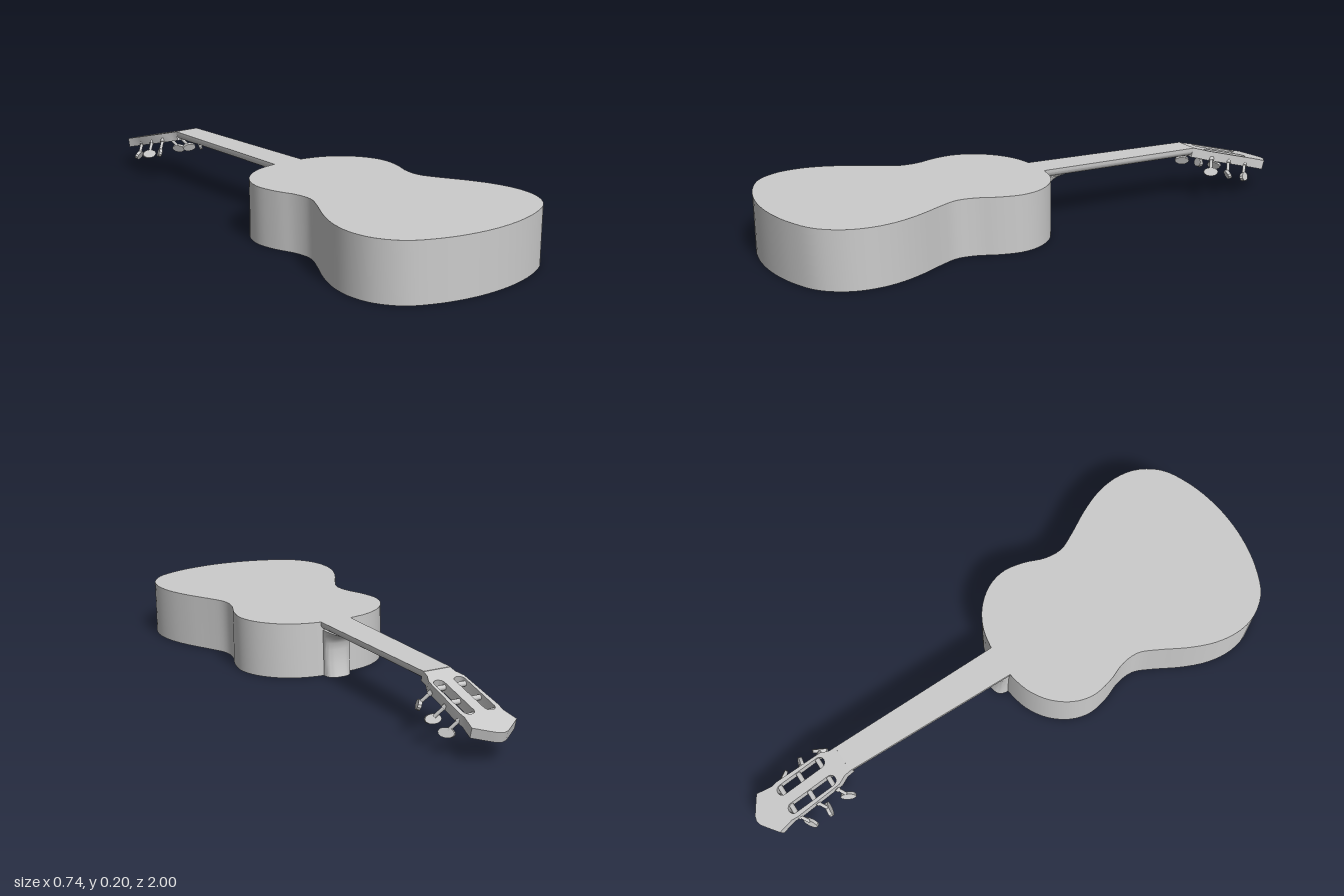
import * as THREE from 'three';
import { toCreasedNormals } from 'three/addons/utils/BufferGeometryUtils.js';

const material = new THREE.MeshStandardMaterial({ color: 0xcccccc });
const V = (x, y, z) => new THREE.Vector3(x, y, z);

function add(parent, name, geometry, position = V(0, 0, 0)) {
  const mesh = new THREE.Mesh(geometry, material);
  mesh.name = name;
  mesh.position.copy(position);
  parent.add(mesh);
  return mesh;
}

// Skin over equal-length convex rings, each counter-clockwise seen from the last ring's side
function loft(rings) {
  const p = [];
  const tri = (...v) => v.forEach((q) => p.push(q.x, q.y, q.z));
  const n = rings[0].length, last = rings[rings.length - 1];
  for (let r = 0; r < rings.length - 1; r++) {
    const a = rings[r], b = rings[r + 1];
    for (let i = 0; i < n; i++) {
      const j = (i + 1) % n;
      tri(a[i], a[j], b[j]);
      tri(a[i], b[j], b[i]);
    }
  }
  for (let i = 1; i < n - 1; i++) {
    tri(rings[0][0], rings[0][i + 1], rings[0][i]);
    tri(last[0], last[i], last[i + 1]);
  }
  const g = new THREE.BufferGeometry();
  g.setAttribute('position', new THREE.Float32BufferAttribute(p, 3));
  return toCreasedNormals(g, 0.6);
}

// Mirrors a half outline that starts and ends on the centre line
const mirrored = (half) => [
  ...half, ...half.slice(1, -1).reverse().map(([x, y]) => [-x, y]),
].map(([x, y]) => new THREE.Vector2(x, y));

// Lays an extruded plan flat: shape y becomes -z, depth becomes height
function slab(shape, depth) {
  const g = new THREE.ExtrudeGeometry(shape, { depth, bevelEnabled: false, curveSegments: 8 });
  return toCreasedNormals(g.rotateX(-Math.PI / 2), 0.6);
}

// Cylinder between two points
function rod(a, b, radius) {
  const d = b.clone().sub(a);
  const g = new THREE.CylinderGeometry(radius, radius, d.length(), 10);
  g.applyQuaternion(new THREE.Quaternion().setFromUnitVectors(V(0, 1, 0), d.normalize()));
  return g.translate(...a.clone().add(b).multiplyScalar(0.5).toArray());
}

function makeBody() {
  const half = [
    [0, 0], [0.06, 0], [0.14, -0.018], [0.21, -0.06], [0.262, -0.125], [0.283, -0.2],
    [0.27, -0.28], [0.244, -0.35], [0.24, -0.42], [0.272, -0.49], [0.322, -0.58],
    [0.358, -0.67], [0.37, -0.76], [0.352, -0.845], [0.295, -0.92], [0.2, -0.967],
    [0.1, -0.992], [0, -1],
  ];
  const curve = new THREE.SplineCurve([...mirrored(half), new THREE.Vector2(0, 0)]);
  return slab(new THREE.Shape(curve.getPoints(120).slice(0, -1)), 0.2);
}

// Flat fingerboard on top, rounded back
function makeNeck() {
  const ring = (z, w) => {
    const pts = [V(w, 0.2, z), V(-w, 0.2, z)];
    for (let i = 0; i <= 14; i++) {
      const t = (i / 14) * Math.PI;
      pts.push(V(-w * Math.cos(t), 0.188 - 0.024 * Math.sin(t), z));
    }
    return pts;
  };
  return loft([ring(-0.645, 0.05), ring(0.004, 0.06)]);
}

// Rounded heel, sweeping out into the neck
function makeHeel() {
  const levels = [ // height, reach, half width
    [0, 0.045, 0.05], [0.012, 0.042, 0.05], [0.05, 0.034, 0.05], [0.1, 0.031, 0.051],
    [0.125, 0.034, 0.052], [0.142, 0.043, 0.053], [0.155, 0.06, 0.053],
    [0.164, 0.085, 0.053], [0.17, 0.12, 0.053],
  ];
  return loft(levels.map(([y, d, w]) => {
    const pts = [];
    for (let i = 0; i <= 16; i++) {
      const t = (i / 16) * Math.PI, c = Math.cos(t);
      pts.push(V(w * Math.sign(c) * Math.abs(c) ** 0.8, y, -d * Math.sin(t) ** 0.8));
    }
    pts.push(V(-w, y, 0.01), V(w, y, 0.01));
    return pts;
  }));
}

function makeHead() {
  const head = new THREE.Group();
  head.name = 'head';
  head.position.set(0, 0.2, -0.64);
  head.rotation.x = -0.253;

  // Slotted plate
  const shape = new THREE.Shape(mirrored([
    [0, 0], [0.05, 0], [0.052, 0.03], [0.066, 0.06], [0.073, 0.24], [0.07, 0.265],
    [0.081, 0.322], [0.04, 0.352], [0.018, 0.367], [0, 0.372],
  ]));
  const r = 0.019, s0 = 0.08, s1 = 0.238;
  for (const x of [-0.038, 0.038]) {
    const slot = new THREE.Path();
    slot.absarc(x, s1, r, 0, Math.PI, false);
    slot.absarc(x, s0, r, Math.PI, Math.PI * 2, false);
    slot.closePath();
    shape.holes.push(slot);
  }
  add(head, 'headPlate', slab(shape, 0.035), V(0, -0.035, 0));

  // String rollers and tuning pegs, each key turned differently
  const turns = { 1: [-0.5, 1.3, 0.6], '-1': [-0.5, 1.4, -1.0] };
  [0.083, 0.165, 0.243].forEach((s, i) => {
    for (const side of [-1, 1]) {
      add(head, 'roller', rod(V(side * 0.016, -0.016, -s), V(side * 0.06, -0.016, -s), 0.009));
      const peg = new THREE.Group();
      peg.name = 'tuningPeg';
      const base = V(side * 0.064, -0.022, -s), end = V(side * 0.092, -0.064, -s + 0.012);
      add(peg, 'pegShaft', rod(base, end, 0.006));
      add(peg, 'pegCollar', rod(base, base.clone().lerp(end, 0.25), 0.009));
      const key = new THREE.CylinderGeometry(0.018, 0.018, 0.012, 12);
      key.rotateZ(Math.PI / 2).scale(1, 0.9, 1.5);
      const mesh = add(peg, 'pegKey', toCreasedNormals(key, 0.6), end.clone().add(V(side * 0.004, -0.008, 0)));
      mesh.rotation.set(0.25, turns[side][i], side * 0.35);
      head.add(peg);
    }
  });
  return head;
}

export function createModel() {
  const guitar = new THREE.Group();
  guitar.name = 'guitar';
  add(guitar, 'body', makeBody());
  add(guitar, 'neck', makeNeck());
  add(guitar, 'heel', makeHeel());
  guitar.add(makeHead());
  return guitar;
}
